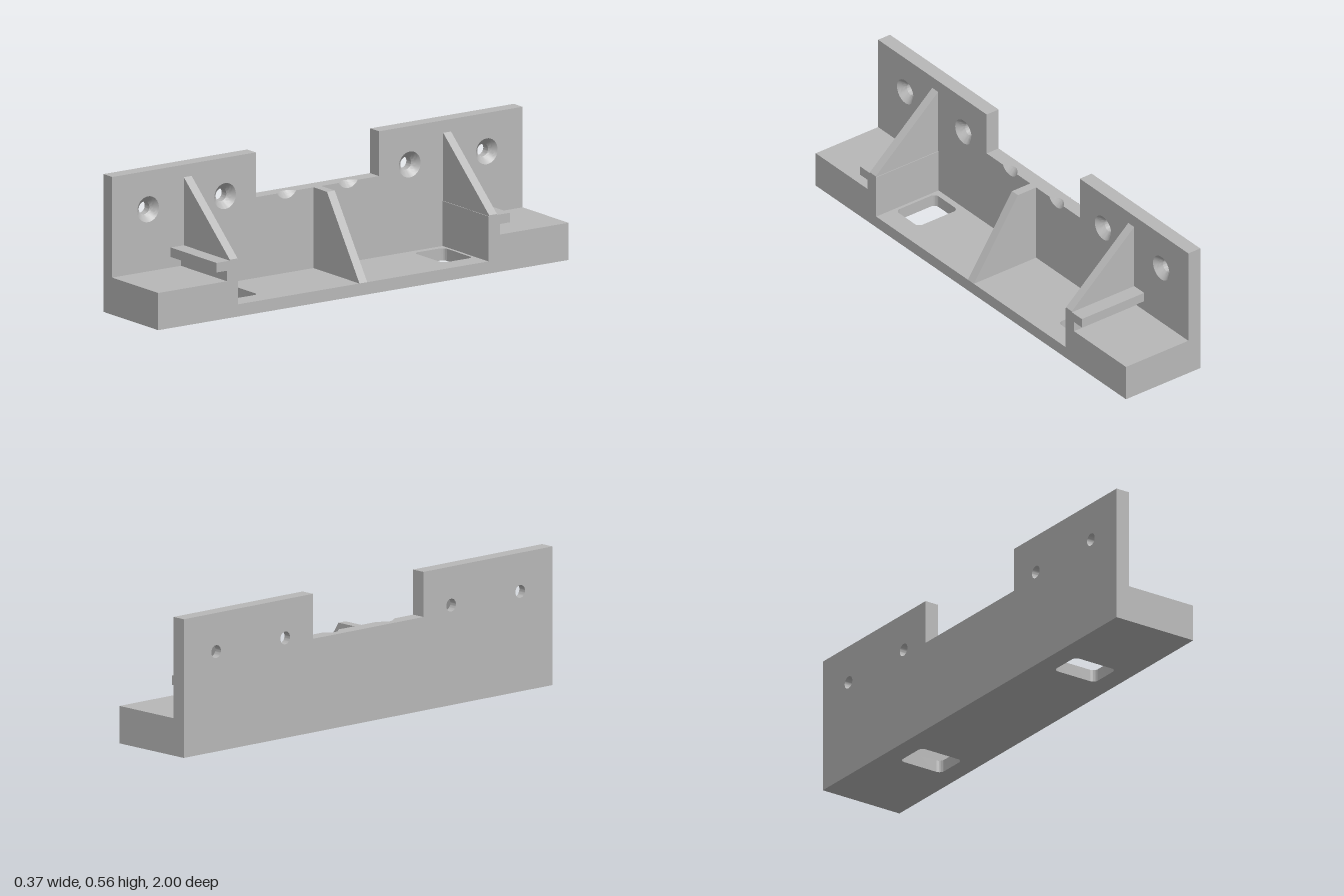
import * as THREE from 'three';
import { toCreasedNormals } from 'three/addons/utils/BufferGeometryUtils.js';

const BACK = -0.187, FACE = -0.127, FRONT = 0.187;
const WALL_TOP = 0.563, NOTCH_TOP = 0.38, FLOOR = 0.05;
const HOLE_Y = 0.406, R_OUT = 0.053, R_IN = 0.026, SINK = 0.028;

const polygon = (pts) => new THREE.Shape(pts.map(([x, y]) => new THREE.Vector2(x, y)));

// Extrude an (x, y) outline along z
function alongZ(pts, z0, z1) {
  const g = new THREE.ExtrudeGeometry(polygon(pts), { depth: z1 - z0, bevelEnabled: false });
  return g.translate(0, 0, z0);
}

// Extrude a (-z, y) outline along x
function alongX(shape, x0, x1, steps = 1) {
  const g = new THREE.ExtrudeGeometry(shape, { depth: x1 - x0, steps, bevelEnabled: false });
  return g.rotateY(Math.PI / 2).translate(x0, 0, 0);
}

// Half angle of a screw recess that is cut off by the notch edge
const cutAngle = (r) => Math.acos(Math.min(1, (HOLE_Y - NOTCH_TOP) / r));

// Back wall with notch, countersunk holes and two cut-off countersinks
function wallGeometry() {
  const arc = (c) => {
    const a = cutAngle(R_OUT), pts = [];
    for (let i = 0; i <= 12; i++) {
      const t = a * (1 - i / 6);
      pts.push([c + R_OUT * Math.sin(t), HOLE_Y - R_OUT * Math.cos(t)]);
    }
    return pts;
  };
  const shape = polygon([
    [-1, 0], [1, 0], [1, WALL_TOP], [0.3, WALL_TOP], [0.3, NOTCH_TOP],
    ...arc(0.15), ...arc(-0.15),
    [-0.3, NOTCH_TOP], [-0.3, WALL_TOP], [-1, WALL_TOP],
  ]);
  const full = [-0.825, -0.45, 0.45, 0.825];
  for (const c of full) {
    const pts = [];
    for (let i = 0; i < 32; i++) {
      const t = (i / 32) * Math.PI * 2;
      pts.push(new THREE.Vector2(c + R_OUT * Math.cos(t), HOLE_Y + R_OUT * Math.sin(t)));
    }
    shape.holes.push(new THREE.Path(pts));
  }
  const g = alongX(shape, BACK, FACE, 15);

  // Narrow the holes with depth to form the countersinks
  const p = g.attributes.position;
  for (let i = 0; i < p.count; i++) {
    const r = Math.max(R_IN, R_OUT - ((FACE - p.getX(i)) / SINK) * (R_OUT - R_IN));
    for (const c of [...full, -0.15, 0.15]) {
      const dz = p.getZ(i) - c, dy = p.getY(i) - HOLE_Y;
      if (Math.hypot(dz, dy) > R_OUT + 0.001) continue;
      let t = Math.atan2(dz, -dy);
      if (Math.abs(c) < 0.2) t *= cutAngle(r) / cutAngle(R_OUT);
      p.setZ(i, c + r * Math.sin(t));
      p.setY(i, HOLE_Y - r * Math.cos(t));
      break;
    }
  }
  return toCreasedNormals(g, 0.5);
}

// Floor plate with two rounded slots
function floorGeometry() {
  const shape = polygon([[FACE, -0.61], [FRONT, -0.61], [FRONT, 0.61], [FACE, 0.61]]);
  const r = 0.022, x0 = -0.1, x1 = 0.1;
  for (const [y0, y1] of [[0.45, 0.597], [-0.597, -0.45]]) {
    const slot = new THREE.Path();
    slot.absarc(x1 - r, y1 - r, r, 0, Math.PI / 2);
    slot.absarc(x0 + r, y1 - r, r, Math.PI / 2, Math.PI);
    slot.absarc(x0 + r, y0 + r, r, Math.PI, Math.PI * 1.5);
    slot.absarc(x1 - r, y0 + r, r, Math.PI * 1.5, Math.PI * 2);
    slot.closePath();
    shape.holes.push(slot);
  }
  const g = new THREE.ExtrudeGeometry(shape, { depth: FLOOR, bevelEnabled: false, curveSegments: 8 });
  return toCreasedNormals(g.rotateX(-Math.PI / 2), 0.5);
}

export function createModel() {
  const group = new THREE.Group();
  const grey = new THREE.MeshStandardMaterial({ color: 0xb8b8b8 });
  grey.name = 'plain grey';
  const add = (name, geometry) => {
    const mesh = new THREE.Mesh(geometry, grey);
    mesh.name = name;
    group.add(mesh);
  };

  add('backWall', wallGeometry());
  add('floorPlate', floorGeometry());

  // Sloped rib in the middle
  add('centreRib', alongZ(
    [[FACE, FLOOR], [FRONT, FLOOR], [-0.035, NOTCH_TOP], [FACE, NOTCH_TOP]], -0.019, 0.019));

  for (const [side, s] of [['front', 1], ['rear', -1]]) {
    // Raised end block with its overhanging lip
    const profile = [
      [0.61, 0], [1, 0], [1, 0.152], [0.665, 0.152],
      [0.665, 0.195], [0.715, 0.195], [0.715, 0.234], [0.61, 0.234],
    ].map(([z, y]) => [-s * z, y]);
    add(side + 'EndBlock', alongX(polygon(profile), FACE, FRONT));

    // Triangular gusset standing on the lip
    const z = s * 0.632;
    add(side + 'Gusset', alongZ(
      [[FACE, 0.234], [FRONT, 0.234], [FRONT, 0.238], [FACE, 0.512]], z - 0.019, z + 0.019));
  }
  return group;
}
